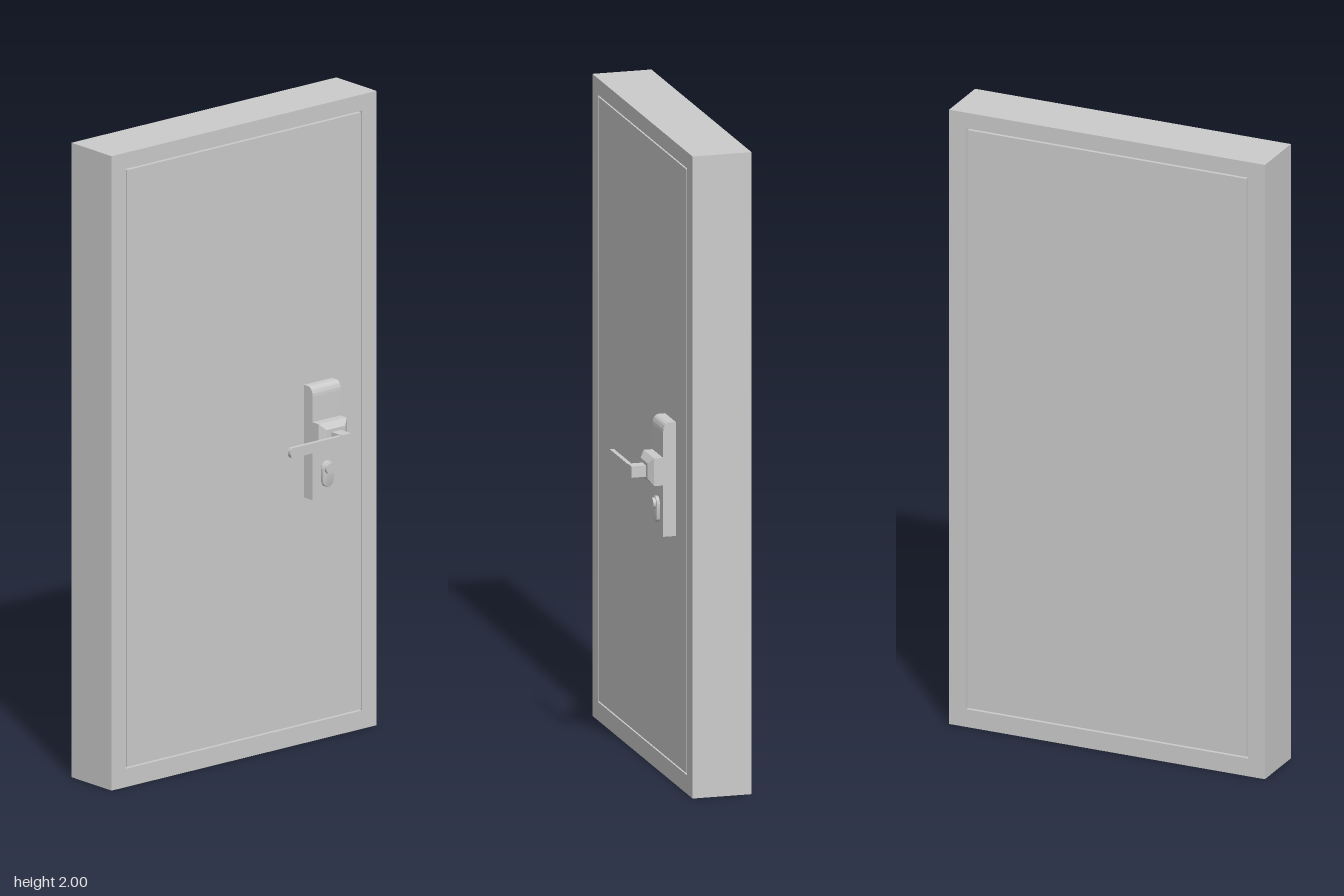
import * as THREE from 'three';
import { toCreasedNormals } from 'three/addons/utils/BufferGeometryUtils.js';

const material = new THREE.MeshStandardMaterial({ color: 0xcccccc });

function addMesh(parent, name, geometry, x = 0, y = 0, z = 0) {
  const mesh = new THREE.Mesh(geometry, material);
  mesh.name = name;
  mesh.position.set(x, y, z);
  parent.add(mesh);
  return mesh;
}

// Box given by its lower and upper corners
function addBox(parent, name, [x0, y0, z0], [x1, y1, z1]) {
  const geometry = new THREE.BoxGeometry(x1 - x0, y1 - y0, z1 - z0);
  return addMesh(parent, name, geometry, (x0 + x1) / 2, (y0 + y1) / 2, (z0 + z1) / 2);
}

function rect(PathType, x0, y0, x1, y1) {
  return new PathType([[x0, y0], [x1, y0], [x1, y1], [x0, y1]].map(([x, y]) => new THREE.Vector2(x, y)));
}

function extrude(shape, depth, options = {}) {
  const geometry = new THREE.ExtrudeGeometry(shape, { depth, bevelEnabled: false, curveSegments: 12, ...options });
  return toCreasedNormals(geometry, 0.6);
}

// Upright or flat slot outline with round ends
function slot(halfWidth, y0, y1) {
  const shape = new THREE.Shape();
  shape.absarc(0, y1 - halfWidth, halfWidth, 0, Math.PI);
  shape.absarc(0, y0 + halfWidth, halfWidth, Math.PI, Math.PI * 2);
  shape.closePath();
  return shape;
}

export function createModel() {
  const model = new THREE.Group();
  model.name = 'door';
  const back = -0.158, front = 0.028, gap = 0.005;

  // Frame around the opening
  const outline = rect(THREE.Shape, -0.526, 0, 0.526, 2);
  outline.holes.push(rect(THREE.Path, -0.469, 0.058, 0.469, 1.949));
  addMesh(model, 'frame', extrude(outline, front - back), 0, 0, back);

  // Leaf flush with the frame on both sides, with a stop closing the gap
  addBox(model, 'leaf', [-0.469 + gap, 0.058 + gap, back], [0.469 - gap, 1.949 - gap, front]);
  const stop = rect(THREE.Shape, -0.475, 0.052, 0.475, 1.955);
  stop.holes.push(rect(THREE.Path, -0.46, 0.067, 0.46, 1.94));
  addMesh(model, 'doorStop', extrude(stop, front - back - 0.024), 0, 0, back + 0.012);

  const lock = new THREE.Group();
  lock.name = 'lock';
  model.add(lock);
  const lockX = 0.294;

  // Back plate: side profile with a rounded upper front edge
  const profile = new THREE.Shape();
  profile.moveTo(front, 0.775);
  profile.lineTo(0.068, 0.775);
  profile.lineTo(0.068, 1.098);
  profile.quadraticCurveTo(0.068, 1.13, 0.046, 1.13);
  profile.lineTo(front, 1.13);
  profile.closePath();
  addMesh(lock, 'backPlate', extrude(profile, 0.112), lockX + 0.056).rotation.y = -Math.PI / 2;

  // Handle housing with a chamfered front
  const housing = rect(THREE.Shape, -0.037, 0.954, 0.037, 1.002);
  addMesh(lock, 'handleHousing', extrude(housing, 0.032, {
    bevelEnabled: true, bevelSize: 0.019, bevelThickness: 0.015, bevelSegments: 1,
  }), lockX, 0, 0.064);

  // Spindle and lever with a rounded tip
  addBox(lock, 'spindle', [0.277, 0.957, 0.1], [0.315, 0.992, 0.157]);
  const lever = new THREE.Shape();
  lever.moveTo(0.3, 0.958);
  lever.lineTo(0.3, 0.99);
  lever.lineTo(0.086, 0.99);
  lever.quadraticCurveTo(0.075, 0.99, 0.075, 0.974);
  lever.quadraticCurveTo(0.075, 0.958, 0.086, 0.958);
  lever.closePath();
  addMesh(lock, 'lever', extrude(lever, 0.013), 0, 0, 0.144);

  // Key cover and lock cylinder
  addMesh(lock, 'keyCover', extrude(slot(0.022, 0.808, 0.89), 0.012, {
    bevelEnabled: true, bevelSize: 0.003, bevelOffset: -0.003, bevelThickness: 0.003, bevelSegments: 2,
  }), lockX, 0, 0.063);
  addMesh(lock, 'lockCylinder', new THREE.CylinderGeometry(0.017, 0.017, 0.03, 24), lockX, 0.868, 0.072)
    .rotation.x = Math.PI / 2;

  return model;
}
